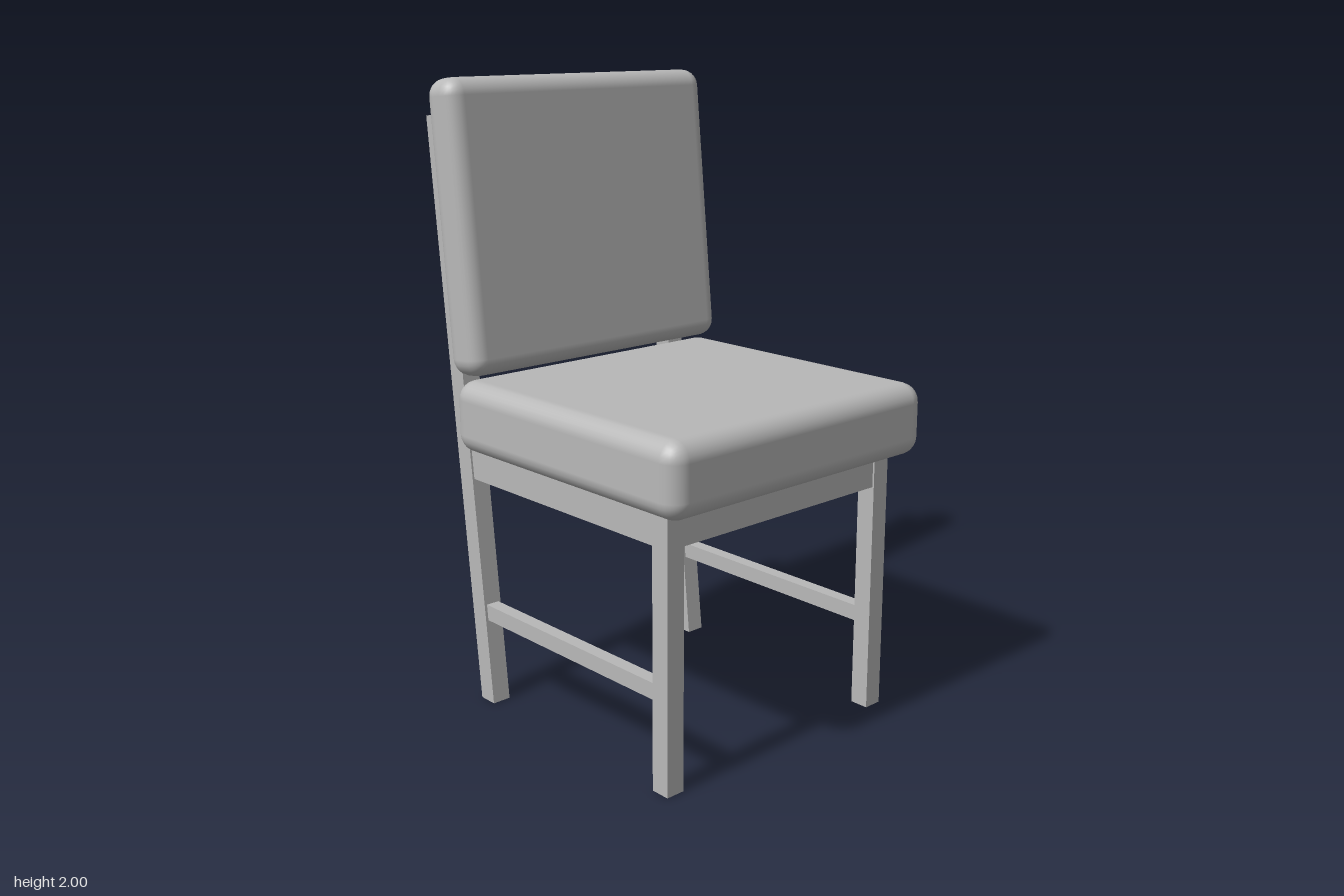
import * as THREE from 'three';
import { RoundedBoxGeometry } from 'three/addons/geometries/RoundedBoxGeometry.js';

export function createModel() {
  const model = new THREE.Group();
  model.name = 'chair';
  const grey = new THREE.MeshStandardMaterial({ color: 0xb8b8b8 });
  grey.name = 'plain grey';

  function add(name, geometry, x = 0, y = 0, z = 0) {
    const mesh = new THREE.Mesh(geometry, grey);
    mesh.name = name;
    mesh.position.set(x, y, z);
    model.add(mesh);
    return mesh;
  }

  // Box given by its limits in y and z
  function bar(name, x, width, y0, y1, z0, z1) {
    add(name, new THREE.BoxGeometry(width, y1 - y0, z1 - z0), x, (y0 + y1) / 2, (z0 + z1) / 2);
  }

  // Upholstered seat and leaning back cushion
  add('seatCushion', new RoundedBoxGeometry(1.06, 0.23, 1.02, 3, 0.06), 0, 0.967, 0.087);
  const back = add('backCushion', new RoundedBoxGeometry(1.04, 0.91, 0.145, 3, 0.055), 0, 1.545, -0.425);
  back.rotation.x = -0.1;

  // Side outline of the raked back leg: level foot, square-cut top
  const leg = 0.063;
  const rake = new THREE.Shape([
    [-0.335, 0], [-0.4, 0], [-0.597, 1.879], [-0.532, 1.886],
  ].map(([z, y]) => new THREE.Vector2(z, y)));
  const rearLeg = new THREE.ExtrudeGeometry(rake, { depth: leg, bevelEnabled: false });
  rearLeg.rotateY(-Math.PI / 2).translate(leg / 2, 0, 0);

  // Legs, side rails and stretchers, mirrored
  for (const [side, x] of [['left', 0.437], ['right', -0.437]]) {
    add(side + 'RearLeg', rearLeg, x);
    bar(side + 'FrontLeg', x, leg, 0, 0.86, 0.442, 0.505);
    bar(side + 'SeatRail', x, 0.05, 0.748, 0.85, -0.43, 0.445);
    bar(side + 'Stretcher', x, 0.045, 0.28, 0.332, -0.378, 0.445);
  }

  // Rail between the front legs
  bar('frontRail', 0, 0.815, 0.748, 0.856, 0.449, 0.499);

  return model;
}
